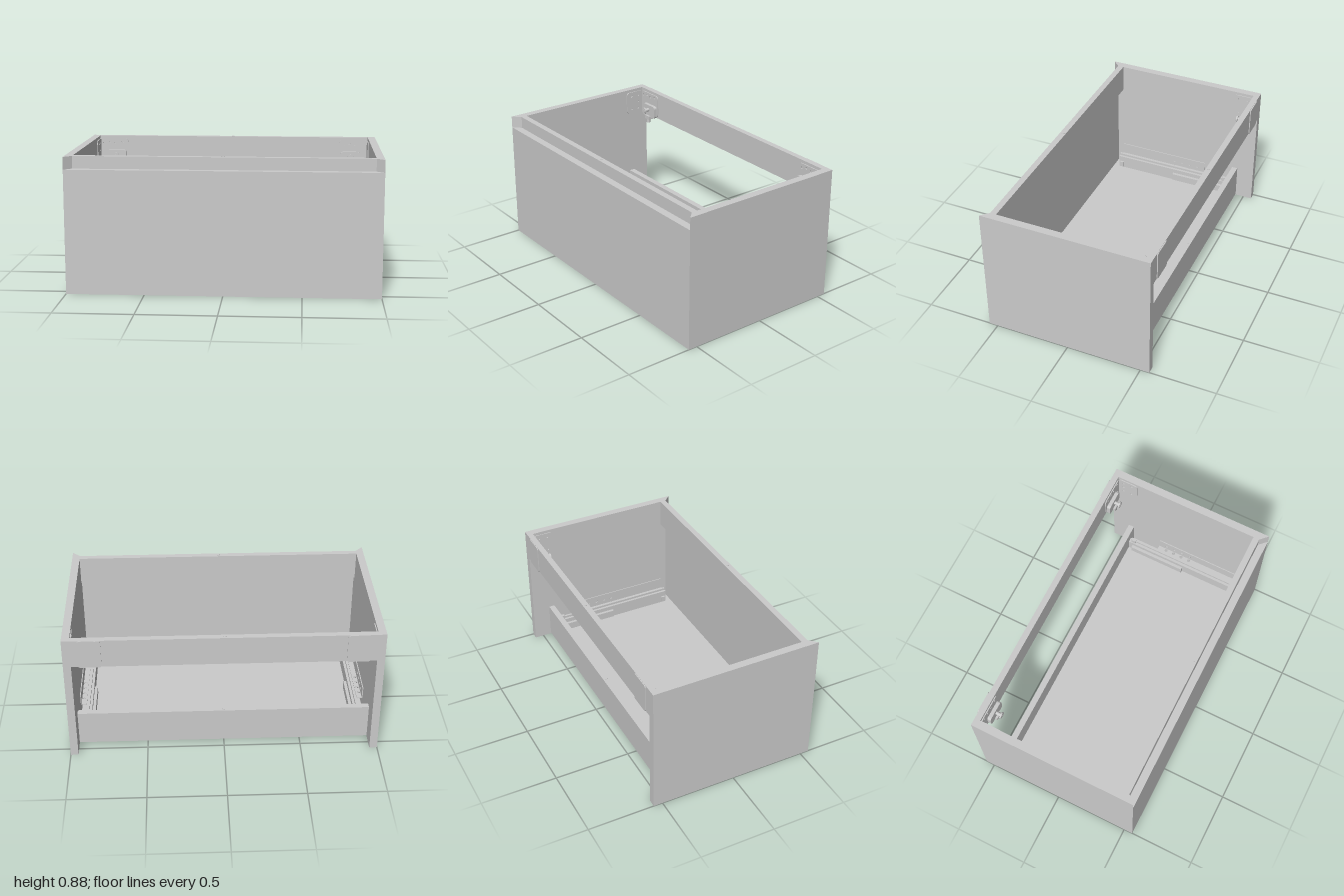
import * as THREE from 'three';

const material = new THREE.MeshStandardMaterial({ color: 0xcccccc, flatShading: true });

function add(parent, name, geometry) {
  const mesh = new THREE.Mesh(geometry, material);
  mesh.name = name;
  parent.add(mesh);
  return mesh;
}

// Box given by its limits on each axis
function box(parent, name, [x0, x1], [y0, y1], [z0, z1]) {
  const g = new THREE.BoxGeometry(x1 - x0, y1 - y0, z1 - z0);
  g.translate((x0 + x1) / 2, (y0 + y1) / 2, (z0 + z1) / 2);
  return add(parent, name, g);
}

// Upright prism from a plan outline of [x, z] corners
function prism(parent, name, plan, y0, y1) {
  const shape = new THREE.Shape(plan.map(([x, z]) => new THREE.Vector2(x, -z)));
  const g = new THREE.ExtrudeGeometry(shape, { depth: y1 - y0, bevelEnabled: false });
  g.rotateX(-Math.PI / 2).translate(0, y0, 0);
  return add(parent, name, g);
}

// Thin plate in the xy plane with rounded corners and round holes
function plate(parent, name, w, h, t, r, holes = []) {
  const s = new THREE.Shape();
  const a = w / 2, b = h / 2;
  s.moveTo(-a + r, -b).lineTo(a - r, -b).quadraticCurveTo(a, -b, a, -b + r);
  s.lineTo(a, b - r).quadraticCurveTo(a, b, a - r, b);
  s.lineTo(-a + r, b).quadraticCurveTo(-a, b, -a, b - r);
  s.lineTo(-a, -b + r).quadraticCurveTo(-a, -b, -a + r, -b);
  for (const [x, y, hr] of holes) s.holes.push(new THREE.Path().absarc(x, y, hr, 0, Math.PI * 2, true));
  return add(parent, name, new THREE.ExtrudeGeometry(s, { depth: t, bevelEnabled: false, curveSegments: 6 }));
}

function cylinder(parent, name, r, length, x, y, z, alongZ = false) {
  const g = new THREE.CylinderGeometry(r, r, length, 16);
  if (alongZ) g.rotateX(Math.PI / 2);
  add(parent, name, g).position.set(x, y, z);
}

// Side panel, slide and wall bracket; s is +1 or -1
function buildSide(s) {
  const side = new THREE.Group();
  side.name = s > 0 ? 'leftSide' : 'rightSide';
  const span = (a, b) => (s > 0 ? [a, b] : [-b, -a]);

  // Panel with a mitred front edge
  const plan = [[1, -0.56], [0.95, -0.56], [0.95, 0.51], [1, 0.56]].map(([x, z]) => [s * x, z]);
  prism(side, 'sidePanel', plan, 0, 0.88);

  // Drawer slide
  box(side, 'slideRunner', span(0.868, 0.9), [0.06, 0.15], [-0.4, 0.47]);
  box(side, 'slideRunnerLip', span(0.885, 0.9), [0.15, 0.165], [-0.39, 0.47]);
  box(side, 'slideCarrier', span(0.848, 0.868), [0.07, 0.12], [-0.37, 0.03]);
  box(side, 'slideCatch', span(0.855, 0.868), [0.07, 0.11], [0.43, 0.46]);
  box(side, 'slideStop', span(0.874, 0.894), [0.15, 0.18], [-0.38, -0.35]);

  // Angle fixing the slide to the panel
  const holes = [-0.27, -0.21, -0.15, -0.09].map((u) => [u, 0, 0.011]);
  const flange = plate(side, 'slideFlange', 0.66, 0.04, 0.006, 0.004, holes);
  flange.rotation.set(Math.PI / 2, 0, Math.PI / 2);
  flange.position.set(s * 0.93, 0.136, 0.14);
  const web = plate(side, 'slideWeb', 0.66, 0.085, 0.006, 0.004, holes.map(([u, v, r]) => [-u, v, r]));
  web.rotation.y = Math.PI / 2;
  web.position.set(s > 0 ? 0.944 : -0.95, 0.173, 0.14);

  // Wall bracket: drilled angle plate, hook housing and adjusting screw
  const drilled = [[-0.07, 0.05], [-0.03, 0.06], [0.01, 0.05], [0.06, 0.06], [-0.07, -0.05], [0.07, -0.05]];
  const back = plate(side, 'bracketBackPlate', 0.2, 0.16, 0.007, 0.025, drilled.map(([x, y]) => [x, y, 0.008]));
  back.position.set(s * 0.85, 0.78, -0.521);
  const wing = plate(side, 'bracketSidePlate', 0.14, 0.16, 0.006, 0.025,
    [[-0.03, 0.05], [0.03, 0.05], [-0.03, -0.05], [0.03, -0.05], [0.03, 0]].map(([x, y]) => [x, y, 0.008]));
  wing.rotation.y = Math.PI / 2;
  wing.position.set(s > 0 ? 0.944 : -0.95, 0.78, -0.45);
  plate(side, 'bracketHousing', 0.14, 0.09, 0.024, 0.02).position.set(s * 0.83, 0.735, -0.514);
  cylinder(side, 'adjustingScrew', 0.012, 0.05, s * 0.83, 0.745, -0.47, true);
  cylinder(side, 'screwHead', 0.022, 0.01, s * 0.83, 0.745, -0.452, true);
  box(side, 'bracketHook', span(0.805, 0.855), [0.675, 0.7], [-0.515, -0.475]);
  cylinder(side, 'hookPin', 0.014, 0.03, s * 0.83, 0.662, -0.49);

  // Cover plate behind the rear rail
  plate(side, 'rearCoverPlate', 0.145, 0.19, 0.006, 0.015).position.set(s * 0.833, 0.783, -0.566);
  return side;
}

export function createModel() {
  const model = new THREE.Group();
  model.name = 'drawerCabinet';
  for (const s of [1, -1]) model.add(buildSide(s));

  // Cabinet rails
  box(model, 'frontRail', [-0.95, 0.95], [0.69, 0.88], [0.47, 0.51]);
  box(model, 'rearRail', [-0.95, 0.95], [0.69, 0.88], [-0.56, -0.521]);

  // Drawer with a mitred front
  const drawer = new THREE.Group();
  drawer.name = 'drawer';
  model.add(drawer);
  prism(drawer, 'drawerFront', [[-1, 0.56], [1, 0.56], [0.95, 0.51], [-0.95, 0.51]], 0, 0.8);
  box(drawer, 'drawerFloor', [-0.949, 0.949], [0.008, 0.06], [-0.4, 0.51]);
  box(drawer, 'drawerBack', [-0.949, 0.949], [0.008, 0.24], [-0.44, -0.4]);

  // Dowel caps in the middle of each rail
  for (const [y, z] of [[0.88, 0.49], [0.88, -0.54], [0.24, -0.42]]) cylinder(model, 'dowelCap', 0.01, 0.006, 0, y, z);
  return model;
}
